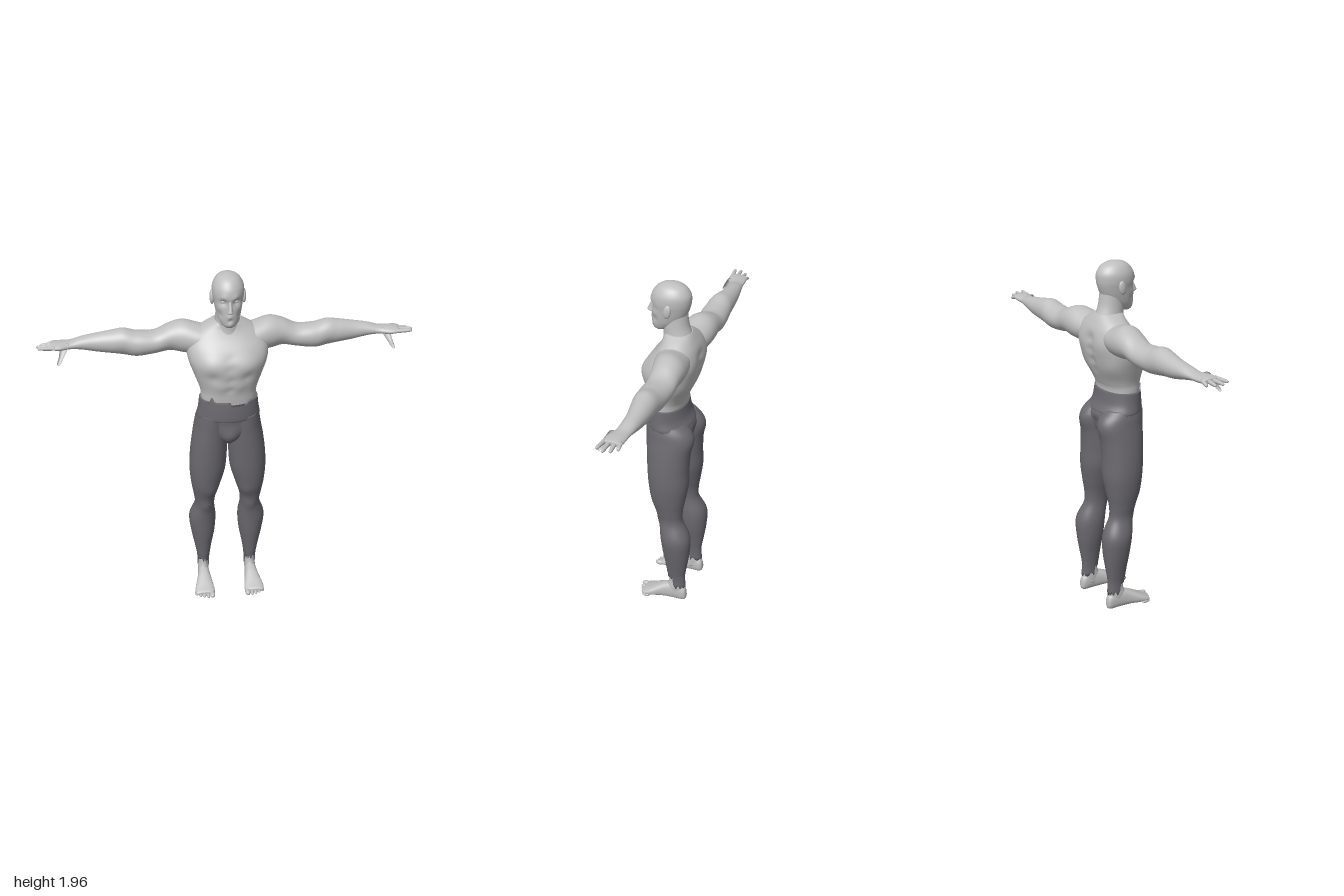
import * as THREE from 'three';

const skin = new THREE.MeshStandardMaterial({ color: 0xbfbfbf });
skin.name = 'grey skin';
const cloth = new THREE.MeshStandardMaterial({ color: 0x6b696f });
cloth.name = 'dark trousers';

// Smooth value between rows a..d at t
const spline = (a, b, c, d, t) =>
  b + 0.5 * t * (c - a + t * (2 * a - 5 * b + 4 * c - d + t * (3 * (b - c) + d - a)));

// Loft of oval sections along an axis. Row: [position, uMin, uMax, vMin, vMax];
// (u, v) is (x, z) for axis y, (y, z) for axis x and (x, y) for axis z.
// Bumps [x, y, z, radius, amount] swell or hollow the surface; edge() reshapes points; side -1 mirrors.
function loft(name, material, axis, rows, { side = 1, bumps = [], edge, seg = 32, steps = 5, power = 2 } = {}) {
  const fine = [];
  const row = i => rows[Math.max(0, Math.min(rows.length - 1, i))];
  for (let i = 0; i < rows.length - 1; i++)
    for (let k = 0; k < steps; k++)
      fine.push(rows[0].map((_, j) => spline(row(i - 1)[j], row(i)[j], row(i + 1)[j], row(i + 2)[j], k / steps)));
  fine.push(rows[rows.length - 1]);

  const place = (t, u, v) =>
    axis === 'y' ? new THREE.Vector3(u, t, v) : axis === 'x' ? new THREE.Vector3(t, u, v) : new THREE.Vector3(u, v, t);
  const pos = [], index = [];
  const add = p => pos.push(p.x * side, p.y, p.z);
  const oval = a => Math.sign(a) * Math.abs(a) ** (2 / power);
  fine.forEach(([t, u0, u1, v0, v1], r) => {
    const mid = place(t, (u0 + u1) / 2, (v0 + v1) / 2);
    for (let k = 0; k < seg; k++) {
      const a = (k / seg) * Math.PI * 2;
      const p = place(t, (u0 + u1) / 2 + oval(Math.cos(a)) * (u1 - u0) / 2, (v0 + v1) / 2 + oval(Math.sin(a)) * (v1 - v0) / 2);
      const out = p.clone().sub(mid).normalize();
      let push = 0;
      for (const [x, y, z, rad, amount] of bumps)
        push += amount * Math.exp(-((p.x - x) ** 2 + (p.y - y) ** 2 + (p.z - z) ** 2) / (rad * rad));
      p.addScaledVector(out, push);
      if (edge) edge(p, r, fine.length - 1);
      add(p);
    }
  });
  const flip = (axis === 'y') !== (side < 0);
  const tri = (a, b, c) => (flip ? index.push(a, c, b) : index.push(a, b, c));
  const n = fine.length;
  for (let r = 0; r < n - 1; r++)
    for (let k = 0; k < seg; k++) {
      const a = r * seg + k, b = r * seg + (k + 1) % seg;
      tri(a, b, a + seg);
      tri(b, b + seg, a + seg);
    }
  // End caps
  for (const r of [0, n - 1]) {
    const [t, u0, u1, v0, v1] = fine[r], c = pos.length / 3;
    add(place(t, (u0 + u1) / 2, (v0 + v1) / 2));
    for (let k = 0; k < seg; k++) {
      const a = r * seg + k, b = r * seg + (k + 1) % seg;
      r === 0 ? tri(c, b, a) : tri(c, a, b);
    }
  }
  const g = new THREE.BufferGeometry();
  g.setAttribute('position', new THREE.Float32BufferAttribute(pos, 3));
  g.setIndex(index);
  g.computeVertexNormals();
  const mesh = new THREE.Mesh(g, material);
  mesh.name = name;
  return mesh;
}

function ball(name, x, y, z, rx, ry, rz) {
  const mesh = new THREE.Mesh(new THREE.SphereGeometry(1, 20, 14), skin);
  mesh.position.set(x, y, z);
  mesh.scale.set(rx, ry, rz);
  mesh.name = name;
  return mesh;
}

// Same bump on both sides of the body
const pair = list => list.flatMap(([x, ...b]) => [[x, ...b], [-x, ...b]]);
const wide = list => list.map(([y, w, back, front]) => [y, -w, w, back, front]);

function makeHead() {
  const g = new THREE.Group();
  g.name = 'head';
  g.add(loft('skull', skin, 'y', wide([
    [1.69, 0.025, 0.045, 0.098], [1.705, 0.043, 0.01, 0.11], [1.74, 0.06, -0.04, 0.116], [1.78, 0.07, -0.07, 0.116],
    [1.82, 0.077, -0.087, 0.115], [1.86, 0.083, -0.096, 0.119], [1.90, 0.08, -0.094, 0.111],
    [1.935, 0.061, -0.07, 0.085], [1.954, 0.033, -0.034, 0.05], [1.96, 0.004, 0.002, 0.012],
  ]), {
    seg: 72, steps: 8,
    bumps: [...pair([[0.033, 1.835, 0.106, 0.018, -0.012], [0.03, 1.86, 0.11, 0.018, 0.005], [0.055, 1.80, 0.085, 0.02, 0.004],
      [0.05, 1.76, 0.085, 0.02, -0.005]]),
      [0, 1.757, 0.118, 0.014, 0.006], [0, 1.735, 0.116, 0.01, -0.005], [0, 1.71, 0.11, 0.016, 0.005]],
  }));
  g.add(loft('nose', skin, 'y', wide([
    [1.776, 0.011, 0.09, 0.122], [1.785, 0.017, 0.09, 0.143], [1.80, 0.013, 0.09, 0.14], [1.845, 0.008, 0.09, 0.117],
  ]), { seg: 20 }));
  for (const s of [1, -1]) {
    g.add(ball('eye', s * 0.032, 1.834, 0.088, 0.014, 0.01, 0.013));
    const ear = ball('ear', s * 0.083, 1.828, 0.004, 0.012, 0.038, 0.021);
    ear.rotation.x = -0.15;
    g.add(ear);
  }
  g.add(loft('neck', skin, 'y', wide([
    [1.58, 0.10, -0.135, 0.075], [1.63, 0.082, -0.12, 0.056], [1.68, 0.068, -0.102, 0.052], [1.73, 0.062, -0.085, 0.055], [1.80, 0.058, -0.075, 0.05],
  ])));
  return g;
}

function makeTorso() {
  const spine = [1.32, 1.38, 1.44, 1.50, 1.56].map(y => [0, y, -0.14, 0.028, -0.014]);
  const midline = [1.34, 1.40, 1.47, 1.53].map(y => [0, y, 0.14, 0.02, -0.006]);
  return loft('torso', skin, 'y', wide([
    [1.15, 0.145, -0.07, 0.11], [1.27, 0.148, -0.072, 0.122], [1.32, 0.153, -0.088, 0.128], [1.40, 0.182, -0.125, 0.142],
    [1.48, 0.21, -0.146, 0.144], [1.55, 0.215, -0.15, 0.112], [1.61, 0.19, -0.142, 0.068], [1.655, 0.13, -0.122, 0.045], [1.69, 0.068, -0.1, 0.04],
  ]), {
    seg: 72, steps: 7, power: 2.2,
    bumps: [...spine, ...midline,
      ...pair([[0.09, 1.49, 0.13, 0.06, 0.012], [0.09, 1.415, 0.135, 0.03, -0.008], [0.1, 1.54, -0.14, 0.06, 0.01],
        [0.13, 1.42, -0.09, 0.06, 0.008], [0.045, 1.36, 0.13, 0.03, 0.005]])],
  });
}

function makeArm(s) {
  const g = new THREE.Group();
  g.name = s > 0 ? 'leftArm' : 'rightArm';
  g.add(loft('arm', skin, 'x', [
    [0.08, 1.52, 1.64, -0.125, 0.05], [0.15, 1.495, 1.655, -0.145, 0.045], [0.23, 1.497, 1.673, -0.153, 0.025], [0.30, 1.508, 1.655, -0.15, 0.01],
    [0.38, 1.497, 1.618, -0.146, 0.005], [0.47, 1.487, 1.622, -0.138, 0.008], [0.54, 1.495, 1.64, -0.133, 0.002],
    [0.60, 1.506, 1.632, -0.13, -0.008], [0.68, 1.517, 1.618, -0.123, -0.022], [0.76, 1.535, 1.605, -0.113, -0.026],
    [0.82, 1.546, 1.59, -0.103, -0.02], [0.87, 1.548, 1.59, -0.102, 0.0], [0.91, 1.555, 1.588, -0.1, 0.002], [0.925, 1.56, 1.583, -0.095, -0.004],
  ], { side: s, seg: 40, bumps: [[0.3, 1.55, 0, 0.05, -0.006], [0.43, 1.6, -0.01, 0.06, 0.006], [0.54, 1.53, -0.02, 0.04, -0.006]] }));
  // Fingers: z at the root, z at the tip, reach, tip height
  for (const [z0, z1, tip, y] of [[-0.087, -0.093, 0.945, 1.56], [-0.063, -0.068, 0.98, 1.566], [-0.037, -0.036, 0.998, 1.572], [-0.011, -0.003, 0.988, 1.577]]) {
    const at = (k, r) => [0.90 + (tip - 0.90) * k, 1.572 + (y - 1.572) * k - r, 1.572 + (y - 1.572) * k + r, z0 + (z1 - z0) * k - r, z0 + (z1 - z0) * k + r];
    g.add(loft('finger', skin, 'x', [at(0, 0.012), at(0.5, 0.0105), at(0.92, 0.008), at(1, 0.002)], { side: s, seg: 12 }));
  }
  g.add(loft('thumb', skin, 'y', [
    [1.585, 0.83, 0.862, -0.04, -0.005], [1.56, 0.835, 0.875, -0.027, 0.01], [1.53, 0.855, 0.883, 0, 0.025],
    [1.503, 0.872, 0.893, 0.018, 0.038], [1.492, 0.883, 0.89, 0.028, 0.036],
  ], { side: s, seg: 14 }));
  return g;
}

function makeLeg(s) {
  const g = new THREE.Group();
  g.name = s > 0 ? 'leftLeg' : 'rightLeg';
  // Torn cuff, higher at the front
  const cuff = (p, r) => {
    if (r === 0) p.y += (p.z > -0.06 ? 0.055 : 0) + 0.014 * Math.sin(p.x * 330 + p.z * 170);
    else if (r < 6) p.y = Math.max(p.y, 0.102 + r * 0.004 + (p.z > -0.06 ? 0.058 : 0));
  };
  g.add(loft('trouserLeg', cloth, 'y', [
    [0.10, 0.103, 0.17, -0.126, -0.02], [0.17, 0.1, 0.172, -0.122, -0.018], [0.25, 0.088, 0.186, -0.134, -0.008], [0.35, 0.07, 0.205, -0.148, 0.008],
    [0.45, 0.064, 0.214, -0.149, 0.02], [0.55, 0.074, 0.184, -0.108, 0.033], [0.62, 0.066, 0.19, -0.102, 0.052], [0.70, 0.042, 0.203, -0.115, 0.08],
    [0.80, 0.014, 0.212, -0.129, 0.097], [0.90, 0.005, 0.208, -0.128, 0.105], [1.0, 0.001, 0.196, -0.134, 0.111],
    [1.08, 0.0, 0.182, -0.146, 0.115], [1.13, 0.0, 0.173, -0.13, 0.118], [1.17, 0.005, 0.16, -0.09, 0.12],
  ], {
    side: s, seg: 44, edge: cuff, power: 2.1,
    bumps: [[0.125, 0.56, 0.03, 0.035, 0.008], [0.09, 0.67, 0.06, 0.04, 0.007], [0.13, 0.55, -0.1, 0.04, -0.005], [0.09, 1.08, -0.14, 0.06, 0.005]],
  }));
  g.add(loft('ankle', skin, 'y', [
    [0.04, 0.108, 0.166, -0.12, 0.0], [0.09, 0.107, 0.168, -0.118, -0.012], [0.13, 0.109, 0.164, -0.112, -0.028], [0.22, 0.11, 0.165, -0.11, -0.03],
  ], { side: s, seg: 24 }));
  g.add(loft('foot', skin, 'z', [
    [-0.132, 0.128, 0.15, 0.02, 0.05], [-0.118, 0.113, 0.162, 0.002, 0.085], [-0.06, 0.108, 0.168, 0, 0.11], [0.0, 0.101, 0.176, 0, 0.095],
    [0.05, 0.093, 0.19, 0, 0.07], [0.09, 0.087, 0.199, 0, 0.048], [0.118, 0.09, 0.196, 0.004, 0.034], [0.125, 0.1, 0.185, 0.01, 0.026],
  ], { side: s, seg: 28, power: 2.4 }));
  for (let i = 0; i < 5; i++) {
    const r = i === 0 ? 0.0155 : 0.0115 - i * 0.0005;
    g.add(ball('toe', s * (0.103 + i * 0.0215 + (i ? 0.003 : 0)), r, 0.127 - i * i * 0.0018, r, r, 0.028 - i * 0.001));
  }
  return g;
}

export function createModel() {
  const body = new THREE.Group();
  body.name = 'figure';
  body.add(makeHead(), makeTorso());
  for (const s of [1, -1]) body.add(makeArm(s), makeLeg(s));

  // Seat of the trousers
  body.add(loft('trouserSeat', cloth, 'y', wide([
    [0.985, 0.02, -0.05, 0.07], [1.02, 0.07, -0.09, 0.105], [1.08, 0.155, -0.118, 0.118], [1.13, 0.17, -0.122, 0.12], [1.17, 0.165, -0.1, 0.125],
  ]), { seg: 48, bumps: [[0, 1.05, 0.115, 0.04, 0.014], [0, 1.09, -0.12, 0.03, -0.012]] }));

  // Waistband with a torn upper rim
  const rim = (p, r, last) => {
    if (r < last || p.z < 0) return;
    if (p.x > 0.01 && p.x < 0.09) p.y -= 0.032;
    if (Math.abs(p.x + 0.1) < 0.011) p.y += 0.03;
  };
  body.add(loft('waistband', cloth, 'y', wide([
    [1.148, 0.168, -0.112, 0.128], [1.156, 0.173, -0.115, 0.138], [1.20, 0.164, -0.092, 0.139], [1.265, 0.157, -0.08, 0.134],
  ]), { seg: 64, edge: rim }));
  return body;
}
